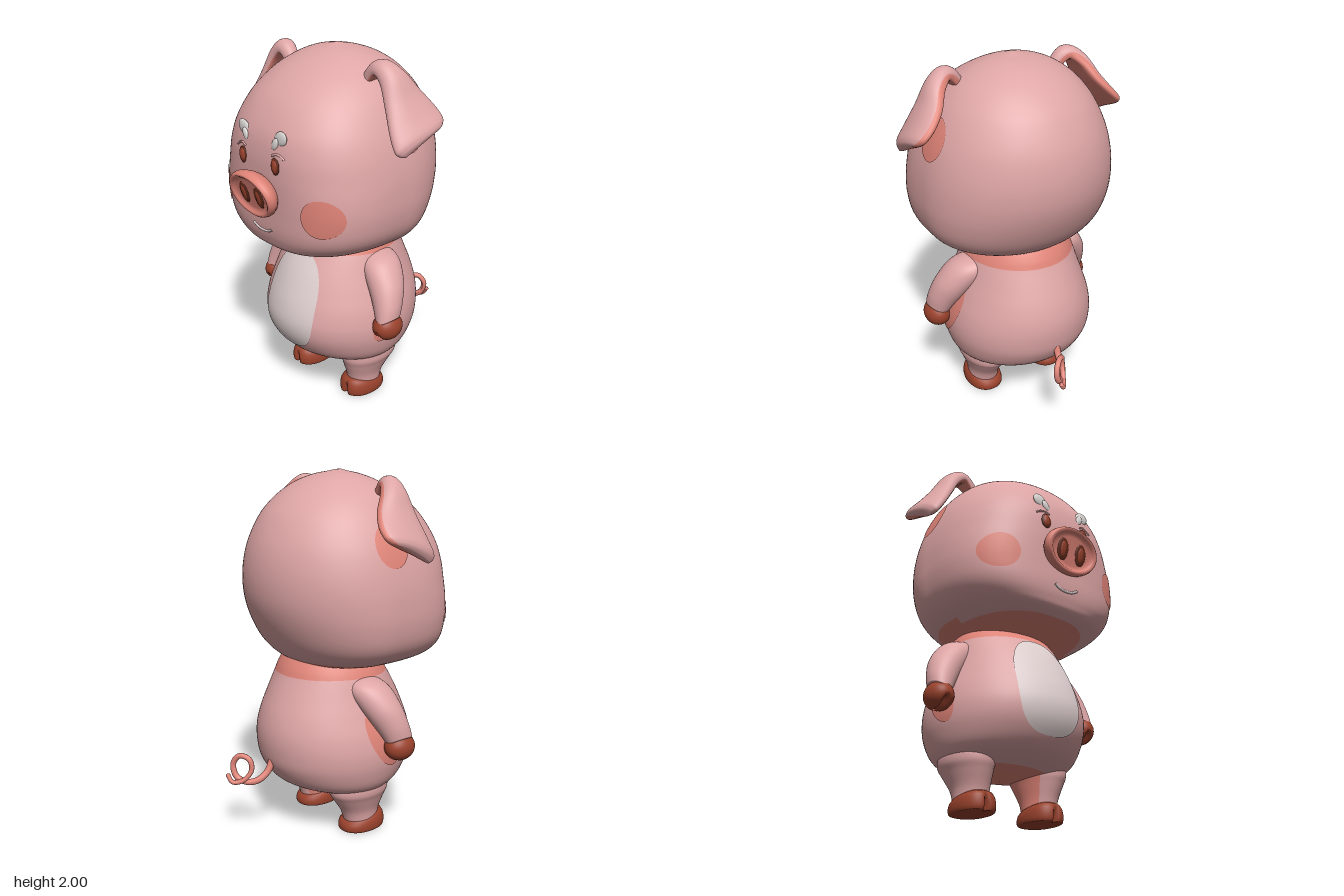
import * as THREE from 'three';

const V = (x, y, z) => new THREE.Vector3(x, y, z);
const material = (name, color) => new THREE.MeshStandardMaterial({ name, color });
const skin = material('skin pink', 0xdea5a5);
const salmon = material('salmon', 0xe08478);
const hoofBrown = material('hoof brown', 0x9a422c);
const dark = material('dark brown', 0x642c1c);
const pale = material('pale belly', 0xdfcfcf);
const white = material('brow white', 0xdcd8d6);

// Smooth interpolation through rows of numbers
function smooth(rows, steps) {
  const out = [], last = rows.length - 1;
  for (let i = 0; i < last; i++) {
    const [a, b, c, d] = [rows[Math.max(i - 1, 0)], rows[i], rows[i + 1], rows[Math.min(i + 2, last)]];
    for (let s = 0; s < steps; s++) {
      const t = s / steps;
      out.push(b.map((_, k) => {
        const cubic = 3 * (b[k] - c[k]) + d[k] - a[k];
        const square = 2 * a[k] - 5 * b[k] + 4 * c[k] - d[k];
        return b[k] + 0.5 * t * (c[k] - a[k] + t * (square + t * cubic));
      }));
    }
  }
  out.push(rows[last]);
  return out;
}

// Closed skin over rings of points; pick(point, turn) chooses the second material
function loft(rings, pick = () => false, caps = true) {
  const n = rings[0].length;
  const collapse = (r) => {
    const c = r.reduce((s, p) => s.add(p), V(0, 0, 0)).divideScalar(n);
    return r.map(() => c.clone());
  };
  const all = caps ? [collapse(rings[0]), ...rings, collapse(rings[rings.length - 1])] : rings;
  const lists = [[], []];
  for (let i = 0; i < all.length - 1; i++) for (let j = 0; j < n; j++) {
    const k = (j + 1) % n, a = i * n + j, b = i * n + k, c = a + n, d = b + n;
    const mid = all[i][j].clone().add(all[i + 1][k]).multiplyScalar(0.5);
    lists[pick(mid, j / n) ? 1 : 0].push(a, c, b, b, c, d);
  }
  const g = new THREE.BufferGeometry().setFromPoints(all.flat());
  g.setIndex([...lists[0], ...lists[1]]);
  g.addGroup(0, lists[0].length, 0);
  g.addGroup(lists[0].length, lists[1].length, 1);
  g.computeVertexNormals();
  return g;
}

const pw = (v, n) => Math.sign(v) * Math.abs(v) ** (2 / n);
const ringOf = (count, fn) => Array.from({ length: count }, (_, j) => {
  const t = j / count * Math.PI * 2;
  return fn(Math.cos(t), Math.sin(t));
});

// Rounded volume from rows of [y, half width, front z, back z, front squareness]
function volume(rows, zc) {
  const dense = smooth(rows, 6);
  const at = (y) => {
    let i = 0;
    while (i < dense.length - 2 && dense[i + 1][0] < y) i++;
    const t = (y - dense[i][0]) / (dense[i + 1][0] - dense[i][0]);
    return dense[i].map((v, k) => THREE.MathUtils.lerp(v, dense[i + 1][k], t));
  };
  const arc = (u, n) => Math.max(0, 1 - Math.min(1, Math.abs(u)) ** n) ** (1 / n);
  return {
    geometry: (pick) => loft(dense.map(([y, a, zf, zb, n]) => ringOf(96, (c, s) => (s >= 0
      ? V(a * pw(c, n), y, zc + (zf - zc) * pw(s, n))
      : V(a * c, y, zc + (zc - zb) * s)))), pick),
    front: (x, y) => {
      const [, a, zf, , n] = at(y);
      return V(x, y, zc + (zf - zc) * arc(x / a, n));
    },
    side: (z, y) => {
      const [, a, zf, zb, n] = at(y);
      return V(a * (z > zc ? arc((z - zc) / (zf - zc), n) : arc((z - zc) / (zc - zb), 2)), y, z);
    },
  };
}

// Thin painted patch that follows a surface; turn is -1 for patches on the side
function patch(surface, p, q, rp, rq, turn, n = 2, taper = 0) {
  const rings = [];
  for (let i = 0; i <= 12; i++) {
    const k = i / 12;
    rings.push(ringOf(48, (c, s) => surface(p + rp * k * pw(c, n) * (1 - taper * s), q + turn * rq * k * pw(s, n))));
  }
  const g = loft(rings, undefined, false), pos = g.attributes.position, nor = g.attributes.normal;
  const point = (i) => V(0, 0, 0).fromBufferAttribute(pos, i);
  for (let i = 48; i < pos.count; i++) {
    const v = point(i).addScaledVector(V(0, 0, 0).fromBufferAttribute(nor, i), 0.005);
    pos.setXYZ(i, v.x, v.y, v.z);
  }
  const centre = point(48).lerp(point(72), 0.5);
  for (let i = 0; i < 48; i++) pos.setXYZ(i, centre.x, centre.y, centre.z);
  g.computeVertexNormals();
  return g;
}

const ellipsoid = (c, r, tilt = 0) =>
  new THREE.SphereGeometry(1, 40, 28).scale(...r).rotateZ(tilt).translate(c.x, c.y, c.z);

function reshape(g, rule) {
  const pos = g.attributes.position, v = V(0, 0, 0);
  for (let i = 0; i < pos.count; i++) {
    rule(v.fromBufferAttribute(pos, i), i);
    pos.setXYZ(i, v.x, v.y, v.z);
  }
  g.computeVertexNormals();
  return g;
}

function mirrored(g) {
  const m = g.clone().scale(-1, 1, 1), a = m.index.array;
  for (let i = 0; i < a.length; i += 3) [a[i + 1], a[i + 2]] = [a[i + 2], a[i + 1]];
  m.computeVertexNormals();
  return m;
}

export function createModel() {
  const pig = new THREE.Group();
  pig.name = 'pig';
  const add = (name, g, mat, parent = pig) => {
    const m = new THREE.Mesh(g, mat);
    m.name = name;
    parent.add(m);
  };
  const pair = (name, g, mat, parent) => {
    add('left' + name, g, mat, parent);
    add('right' + name, mirrored(g), mat, parent);
  };

  // Head, salmon underneath
  const head = volume([
    [0.958, 0.15, 0.25, -0.12, 2.1], [0.968, 0.3, 0.4, -0.23, 2.3], [1.0, 0.4, 0.5, -0.3, 2.6],
    [1.05, 0.475, 0.53, -0.355, 2.8], [1.12, 0.52, 0.545, -0.405, 2.9], [1.22, 0.542, 0.55, -0.455, 2.9],
    [1.32, 0.545, 0.555, -0.488, 2.8], [1.42, 0.538, 0.56, -0.5, 2.6], [1.52, 0.52, 0.557, -0.495, 2.5],
    [1.62, 0.49, 0.537, -0.473, 2.4], [1.72, 0.444, 0.488, -0.43, 2.3], [1.8, 0.393, 0.428, -0.378, 2.2],
    [1.88, 0.318, 0.335, -0.295, 2.1], [1.94, 0.228, 0.23, -0.2, 2], [1.975, 0.138, 0.14, -0.105, 2],
    [1.99, 0.06, 0.08, -0.03, 2], [2.0, 0.006, 0.045, 0.01, 2]], 0.02);
  add('head', head.geometry((p) => p.y < (p.z < 0.1 ? 1.0 : 0.98)), [skin, salmon]);
  pair('Cheek', patch(head.front, 0.375, 1.25, 0.093, 0.1, 1), salmon);
  pair('EarRootPatch', patch(head.side, 0, 1.63, 0.095, 0.11, -1), salmon);

  // Body with neck band, belly and underarm patches
  const body = volume([
    [0.228, 0.1, 0.08, -0.09, 2], [0.25, 0.3, 0.21, -0.23, 2], [0.3, 0.382, 0.335, -0.355, 2],
    [0.4, 0.422, 0.41, -0.43, 2], [0.5, 0.432, 0.435, -0.455, 2], [0.6, 0.417, 0.42, -0.457, 2],
    [0.7, 0.385, 0.385, -0.435, 2], [0.8, 0.35, 0.34, -0.395, 2], [0.9, 0.318, 0.28, -0.35, 2],
    [0.95, 0.298, 0.24, -0.33, 2], [1.0, 0.27, 0.2, -0.3, 2], [1.03, 0.24, 0.17, -0.27, 2]], 0);
  add('body', body.geometry((p) => p.y > 0.915 || p.y < 0.245), [skin, salmon]);
  add('belly', patch(body.front, 0, 0.627, 0.192, 0.272, 1, 2.6, 0.1), pale);
  const slanted = (z, y) => body.side(z - (y - 0.58) * 0.35, y);
  pair('UnderarmPatch', patch(slanted, 0.03, 0.585, 0.095, 0.16, -1), salmon);

  // Ears: folded flaps given by front edge, back edge and thickness, salmon inside and on the back rim
  const earRows = smooth([
    [0.29, 1.84, 0.12, 0.29, 1.86, 0.04, 0.03], [0.355, 1.915, 0.125, 0.365, 1.925, 0.015, 0.036],
    [0.42, 1.875, 0.13, 0.43, 1.885, -0.03, 0.041], [0.48, 1.765, 0.152, 0.48, 1.805, -0.09, 0.041],
    [0.535, 1.66, 0.178, 0.54, 1.738, -0.128, 0.04], [0.58, 1.582, 0.188, 0.59, 1.69, -0.133, 0.038],
    [0.598, 1.558, 0.17, 0.612, 1.665, -0.11, 0.03], [0.606, 1.548, 0.14, 0.622, 1.65, -0.08, 0.012]], 6);
  const edge = (r, k) => V(r[k], r[k + 1], r[k + 2]);
  const middle = (r) => edge(r, 0).lerp(edge(r, 3), 0.5);
  const earRings = earRows.map((r, i) => {
    const d = middle(earRows[Math.min(i + 1, earRows.length - 1)]).sub(middle(earRows[Math.max(i - 1, 0)]));
    const w = edge(r, 0).sub(edge(r, 3)).multiplyScalar(0.5);
    const t = w.clone().cross(d).setLength(r[6]);
    return ringOf(48, (c, s) => middle(r).addScaledVector(w, pw(c, 2.3))
      .addScaledVector(t, pw(s, 2.3) + 0.4 * (1 - c * c)));
  });
  pair('Ear', loft(earRings, (p, f) => f > 0.43 && f < 0.95), [skin, salmon]);

  // Snout: dished disc leaning forward at the top
  const snout = new THREE.Group();
  snout.name = 'snout';
  snout.position.set(-0.004, 1.315, 0.59);
  snout.rotation.x = 0.27;
  pig.add(snout);
  const profile = [[0, -0.08], [0.55, -0.075], [0.8, -0.045], [0.94, -0.02], [1, 0], [0.995, 0.017], [0.95, 0.032],
    [0.89, 0.037], [0.81, 0.03], [0.75, 0.019], [0.6, 0.016], [0, 0.016]].map(([x, y]) => new THREE.Vector2(x, y));
  add('snoutDisc', new THREE.LatheGeometry(profile, 64).scale(0.172, 1, 0.127).rotateX(Math.PI / 2), salmon, snout);
  pair('NostrilRim', ellipsoid(V(0.06, -0.005, 0.015), [0.036, 0.062, 0.008]), dark, snout);
  pair('Nostril', ellipsoid(V(0.06, -0.005, 0.018), [0.02, 0.045, 0.009]), hoofBrown, snout);

  // Eyes, lashes, brows and mouth
  pair('EyeRim', ellipsoid(head.front(0.13, 1.48), [0.031, 0.044, 0.01]), dark);
  pair('Eye', ellipsoid(head.front(0.13, 1.48), [0.025, 0.037, 0.016]), hoofBrown);
  pair('Brow', ellipsoid(head.front(0.147, 1.617), [0.047, 0.037, 0.013], 0.5), white);
  pair('BrowTail', ellipsoid(head.front(0.118, 1.587), [0.036, 0.02, 0.011], 1.1), white);
  const line = (pts, r) => new THREE.TubeGeometry(
    new THREE.CatmullRomCurve3(pts.map(([x, y]) => head.front(x, y))), 24, r, 8);
  pair('Lash', line([[0.105, 1.53], [0.135, 1.542], [0.165, 1.536], [0.19, 1.52]], 0.006), skin);
  add('mouth', line([[-0.075, 1.122], [-0.04, 1.104], [0, 1.099], [0.04, 1.104], [0.075, 1.122]], 0.007), pale);

  // Arms from wrist to shoulder: [x, y, z, radius, depth radius]
  const armRows = smooth([[0.475, 0.575, 0.09, 0.062, 0.075], [0.455, 0.64, 0.068, 0.077, 0.086],
    [0.41, 0.73, 0.035, 0.09, 0.104], [0.335, 0.825, 0.005, 0.092, 0.116], [0.27, 0.875, -0.01, 0.07, 0.1],
    [0.22, 0.895, -0.015, 0.04, 0.06]], 6);
  const armRings = armRows.map(([x, y, z, r, rz]) =>
    ringOf(40, (c, s) => V(x + c * r * 0.85, y + c * r * 0.53, z + s * rz)));
  pair('Arm', loft(armRings), skin);

  // Cloven hands
  const cleft = (x) => Math.exp(-((x / 0.012) ** 2));
  const hand = reshape(ellipsoid(V(0, 0, 0), [0.074, 0.076, 0.09]), (v) => {
    if (v.z > -0.04) {
      const k = cleft(v.x) * THREE.MathUtils.smoothstep(-v.y, 0, 0.06);
      v.y += 0.035 * k;
      v.z -= 0.03 * k;
    }
  });
  pair('Hand', hand.translate(0.472, 0.547, 0.09), hoofBrown);

  // Legs, salmon on the inner side: [y, x, radius, z, depth radius]
  const legRows = smooth([[0.05, 0.22, 0.085, 0.02, 0.1], [0.12, 0.222, 0.09, 0.015, 0.12],
    [0.2, 0.23, 0.112, 0.002, 0.162], [0.25, 0.235, 0.127, -0.005, 0.185], [0.31, 0.232, 0.125, -0.005, 0.178],
    [0.4, 0.225, 0.09, 0, 0.12]], 6);
  const legRings = legRows.map(([y, x, rx, z, rz]) => ringOf(48, (c, s) => V(x + c * rx, y, z + s * rz)));
  pair('Leg', loft(legRings, (p, f) => f > 0.36 && f < 0.64), [skin, salmon]);

  // Cloven hooves: rings of [y, scale]
  const hoofRings = [[0, 0.9], [0, 0.93], [0.004, 0.97], [0.02, 1], [0.045, 1], [0.07, 0.96], [0.09, 0.87],
    [0.102, 0.72], [0.106, 0.5]].map(([y, k]) =>
    ringOf(96, (c, s) => V(0.103 * k * pw(c, 2.3), y, 0.138 * k * pw(s, 2.2))));
  const hoof = reshape(loft(hoofRings), (v) => {
    const fade = 1 - THREE.MathUtils.smoothstep(v.y, 0.03, 0.08);
    if (v.z > 0) v.z -= 0.04 * fade * cleft(v.x) * (v.z / 0.138) ** 2;
    v.y *= 0.85 + v.z * 1.6;
  });
  pair('Hoof', hoof.translate(0.218, 0, 0.03), hoofBrown);

  // Curly tapering tail
  const tail = new THREE.CatmullRomCurve3([
    V(0, 0.46, -0.42), V(0, 0.38, -0.455), V(0.012, 0.335, -0.51), V(0.05, 0.322, -0.56), V(0.1, 0.35, -0.6),
    V(0.12, 0.42, -0.605), V(0.09, 0.468, -0.58), V(0.045, 0.45, -0.545), V(0.035, 0.39, -0.54),
    V(0.055, 0.335, -0.58), V(0.09, 0.325, -0.63), V(0.12, 0.37, -0.645)]);
  add('tail', reshape(new THREE.TubeGeometry(tail, 120, 0.02, 12), (v, i) => {
    const t = Math.floor(i / 13) / 120;
    v.lerp(tail.getPointAt(t), t < 1 ? 0.4 * t : 1);
  }), salmon);
  return pig;
}
